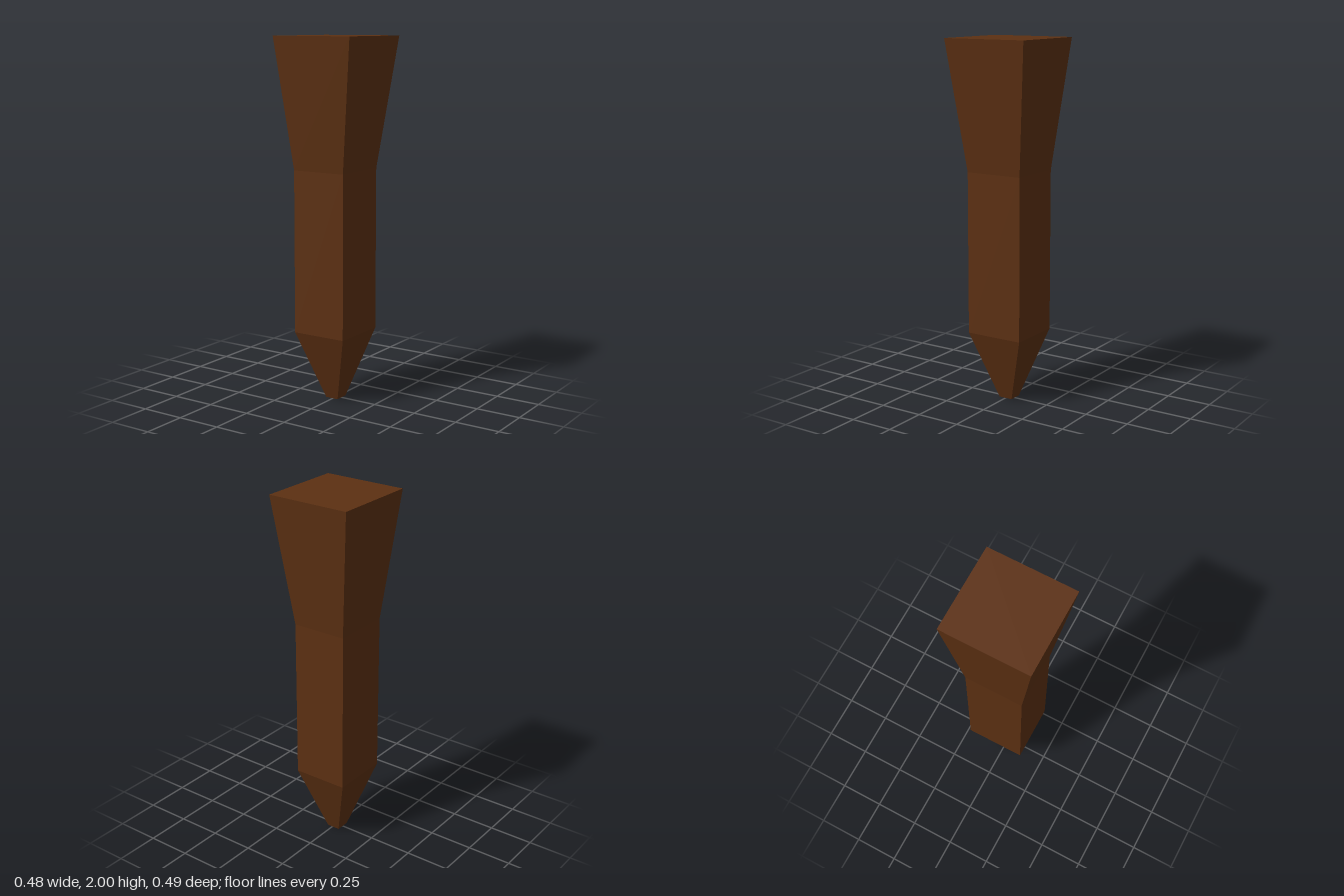
import * as THREE from 'three';

export function createModel() {
  const group = new THREE.Group();
  group.name = 'woodenStake';

  // Cross-sections from top to tip: height, x centre, half width, half depth
  const sections = [
    { y: 2.0, cx: 0, w: 0.24, d: 0.246 },
    { y: 1.285, cx: -0.008, w: 0.157, d: 0.166 },
    { y: 0.385, cx: -0.008, w: 0.157, d: 0.166 },
    { y: 0, cx: -0.006, w: 0.038, d: 0.04 },
  ];

  // Square post, each ring of corners fitted to its section
  const geometry = new THREE.BoxGeometry(2, 3, 2, 1, 3, 1);
  const pos = geometry.attributes.position;
  for (let i = 0; i < pos.count; i++) {
    const s = sections[Math.round(1.5 - pos.getY(i))];
    pos.setXYZ(i, s.cx + pos.getX(i) * s.w, s.y, pos.getZ(i) * s.d);
  }
  const flat = geometry.toNonIndexed();
  flat.computeVertexNormals();

  const stake = new THREE.Mesh(
    flat,
    new THREE.MeshStandardMaterial({ color: 0x5c3012, flatShading: true })
  );
  stake.name = 'stake';
  group.add(stake);
  return group;
}
